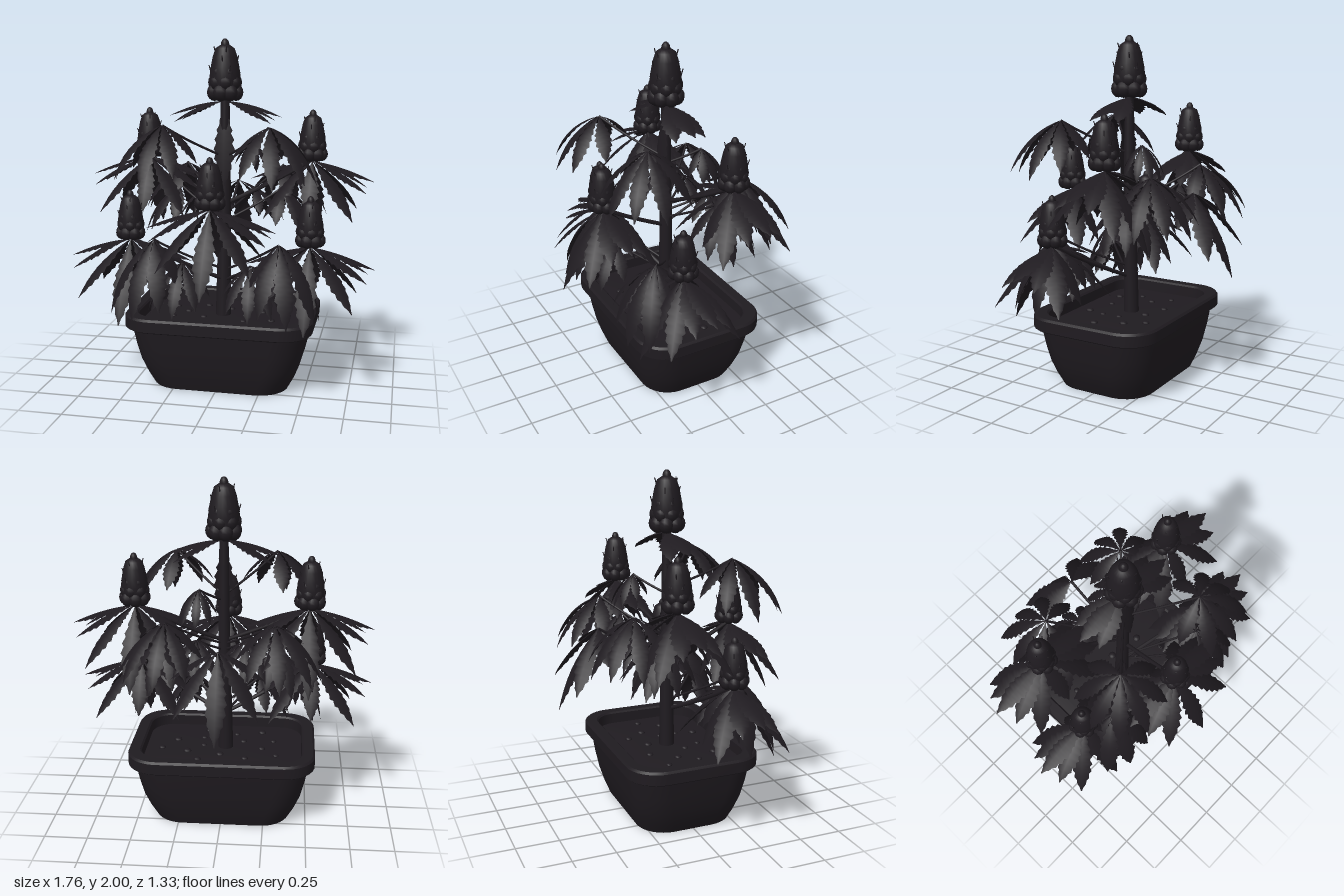
import * as THREE from 'three';
import { mergeGeometries, toCreasedNormals } from 'three/addons/utils/BufferGeometryUtils.js';

const DARK = 0x1f1b20;
const solid = new THREE.MeshStandardMaterial({ color: DARK });
const thin = new THREE.MeshStandardMaterial({ color: DARK, side: THREE.DoubleSide });
const V = (x, y, z) => new THREE.Vector3(x, y, z);
const rad = THREE.MathUtils.degToRad;

function add(parent, name, geometry, material = solid) {
  const mesh = new THREE.Mesh(geometry, material);
  mesh.name = name;
  parent.add(mesh);
  return mesh;
}

// Grid of points (rows of equal length) joined into a surface
function grid(rows) {
  const n = rows[0].length, index = [];
  for (let i = 0; i < rows.length - 1; i++) {
    for (let j = 0; j < n - 1; j++) {
      const a = i * n + j, b = a + 1, c = a + n, d = c + 1;
      index.push(a, c, b, b, c, d);
    }
  }
  const g = new THREE.BufferGeometry();
  g.setAttribute('position', new THREE.Float32BufferAttribute(rows.flat().flatMap(p => p.toArray()), 3));
  g.setIndex(index);
  g.computeVertexNormals();
  return g;
}

// Rounded rectangle loop: half sizes, corner radius, height
function roundedLoop([hx, hz, r, y]) {
  const points = [];
  [[1, 1], [-1, 1], [-1, -1], [1, -1]].forEach(([sx, sz], q) => {
    for (let k = 0; k <= 8; k++) {
      const t = (q + k / 8) * Math.PI / 2;
      points.push(V(sx * (hx - r) + r * Math.cos(t), y, sz * (hz - r) + r * Math.sin(t)));
    }
  });
  points.push(points[0].clone());
  return points;
}
const loft = sections => toCreasedNormals(grid(sections.map(roundedLoop)), 0.6);

// Serrated leaflet, narrow at both ends, whose pitch bends from p0 to p1 (degrees)
function leaflet(azimuth, length, p0, p1, width) {
  const steps = 27, rows = [], c = Math.cos(azimuth), s = Math.sin(azimuth);
  let out = 0, y = 0;
  for (let i = 0; i <= steps; i++) {
    const t = i / steps, pitch = rad(p0 + (p1 - p0) * t);
    const tooth = [1.12, 0.86, 0.98][i % 3];
    const w = Math.max(0.003, width * tooth * Math.sin(Math.PI * Math.pow(t, 1.2)));
    rows.push([-1, 0, 1].map(k => {
      const fold = Math.abs(k) * w * 0.3;
      const o = out + fold * Math.sin(pitch), h = y - fold * Math.cos(pitch);
      return V(c * o - s * k * w, h, s * o + c * k * w);
    }));
    out += Math.cos(pitch) * length / steps;
    y += Math.sin(pitch) * length / steps;
  }
  return grid(rows);
}

// Palmate leaf fanning out around the outward direction; steep lowers every leaflet
function fanLeaf(outward, size, steep) {
  const parts = [];
  for (const [offset, length, p0, p1] of [[0, 0.44, -18, -72], [36, 0.44, -24, -76], [76, 0.4, -20, -72], [122, 0.32, -20, -66]]) {
    for (const side of offset ? [-1, 1] : [1]) {
      parts.push(leaflet(outward + side * rad(offset), length * size, p0 - steep, Math.max(p1 - steep, -88), 0.048 * size));
    }
  }
  return mergeGeometries(parts);
}

// Collar of leaves below a flower: level at the sides, hanging front and back
function collar(top, outward) {
  const parts = [];
  const table = top
    ? [[0, 0.34, -3, -28], [18, 0.32, -5, -40]]
    : [[0, 0.38, -8, -28], [18, 0.38, -12, -42], [40, 0.46, -28, -60]];
  for (const [a, length, p0, p1] of table) {
    for (const angle of a ? [a, -a, 180 - a, 180 + a] : [0, 180]) {
      parts.push(leaflet(rad(angle), length, p0, p1, 0.054));
    }
  }
  if (top) {
    parts.push(leaflet(Math.PI / 2, 0.5, -78, -90, 0.056));
  } else {
    parts.push(leaflet(outward * Math.PI / 2, 0.52, -45, -74, 0.056));
    parts.push(leaflet(-outward * Math.PI / 2, 0.36, -45, -74, 0.05));
  }
  return mergeGeometries(parts);
}

// Flower cone with plump bracts at its foot and a few hairs, 0.35 tall
function flowerParts() {
  const cone = new THREE.LatheGeometry([
    [0.001, 0], [0.06, 0.01], [0.085, 0.06], [0.09, 0.13], [0.082, 0.19], [0.07, 0.25], [0.055, 0.295], [0.03, 0.312], [0.001, 0.316],
  ].map(([x, y]) => new THREE.Vector2(x, y)), 20);
  const bracts = [new THREE.SphereGeometry(0.025, 12, 10).scale(1, 1.5, 1).translate(0, 0.313, 0)];
  const hairs = [];
  [[0.05, 0.063, 7, 0.043], [0.105, 0.057, 7, 0.042], [0.16, 0.05, 6, 0.038], [0.215, 0.042, 6, 0.034], [0.265, 0.032, 5, 0.03]]
    .forEach(([y, r, n, size], ring) => {
      for (let k = 0; k < n; k++) {
        const a = (k + ring * 0.5) / n * Math.PI * 2;
        bracts.push(new THREE.SphereGeometry(size, 10, 8).scale(1, 1.15, 1)
          .translate(r * Math.cos(a), y, r * Math.sin(a)));
        if (ring > 1 && k % 2 === 0) {
          hairs.push(new THREE.CylinderGeometry(0.003, 0.004, 0.035, 5).translate(0, 0.015, 0)
            .rotateZ(-0.3).translate(r + size * 0.9, y + 0.01, 0).rotateY(-a));
        }
      }
    });
  return { cone, bracts: mergeGeometries(bracts), hairs: mergeGeometries(hairs) };
}

export function createModel() {
  const model = new THREE.Group();
  model.name = 'pottedPlant';

  // Hollow pot with a flared wall and thick rim, open underneath
  add(model, 'pot', loft([
    [0.495, 0.345, 0.17, 0.35], [0.476, 0.332, 0.17, 0.25], [0.453, 0.316, 0.17, 0.15], [0.422, 0.295, 0.17, 0.07],
    [0.388, 0.273, 0.16, 0], [0.4, 0.285, 0.17, 0], [0.437, 0.31, 0.18, 0.07],
    [0.468, 0.331, 0.18, 0.15], [0.492, 0.348, 0.18, 0.25], [0.512, 0.362, 0.18, 0.36],
    [0.54, 0.385, 0.18, 0.36], [0.546, 0.391, 0.18, 0.366], [0.546, 0.391, 0.18, 0.428],
    [0.535, 0.38, 0.17, 0.44], [0.48, 0.326, 0.14, 0.44], [0.47, 0.316, 0.13, 0.43], [0.468, 0.314, 0.13, 0.35],
  ]));
  add(model, 'soil', loft([[0.002, 0.002, 0.001, 0.345], [0.497, 0.347, 0.17, 0.345], [0.497, 0.347, 0.17, 0.365],
    [0.4, 0.25, 0.1, 0.375], [0.002, 0.002, 0.001, 0.38]]));
  for (let i = 0; i < 15; i++) {
    const a = i * 2.4, r = Math.sqrt((i + 1.5) / 17);
    const pebble = add(model, 'pebble', new THREE.SphereGeometry(0.019 + 0.003 * (i % 3), 10, 6));
    pebble.position.set(0.41 * r * Math.cos(a), 0.377, 0.26 * r * Math.sin(a));
    pebble.scale.y = 0.6;
  }

  // Main stem, tapering upward
  const stem = new THREE.CylinderGeometry(0.026, 0.045, 1.3, 14, 8).translate(0, 1.02, 0);
  const sp = stem.attributes.position;
  for (let i = 0; i < sp.count; i++) {
    const lean = Math.max(0, 1 - (sp.getY(i) - 0.37) / 0.8) * -0.012;
    sp.setXYZ(i, sp.getX(i) + lean, sp.getY(i), sp.getZ(i) + lean * 0.6);
  }
  add(model, 'stem', stem);

  const branch = (x, y, z, radius) => {
    const reach = Math.hypot(x, z);
    const path = new THREE.QuadraticBezierCurve3(
      V(0, y - reach * 0.5, 0), V(x * 0.6, y - reach * 0.25, z * 0.6), V(x, y, z));
    add(model, 'branch', new THREE.TubeGeometry(path, 10, radius, 7));
  };

  // Flowers, each on a collar of leaves
  const flower = flowerParts();
  const placeFlower = (x, y, z, size, top) => {
    const group = new THREE.Group();
    group.name = 'flowerHead';
    group.position.set(x, y, z);
    for (const part of ['cone', 'bracts', 'hairs']) add(group, part, flower[part]).scale.setScalar(size);
    add(group, 'leafCollar', collar(top, Math.sign(z)), thin);
    model.add(group);
    if (!top) branch(x, y + 0.01, z, 0.012);
  };
  placeFlower(0, 1.65, 0, 1, true);
  placeFlower(0, 1.09, 0.4, 0.82, false);
  for (const side of [-1, 1]) {
    placeFlower(side * 0.49, 1.3, -0.14, 0.85, false);
    placeFlower(side * 0.52, 0.86, 0.18, 0.82, false);
  }

  // Fan leaves on thin stalks
  const placeFan = (x, y, z, size, steep) => {
    const leaf = add(model, 'fanLeaf', fanLeaf(Math.atan2(z, x), size, steep), thin);
    leaf.position.set(x, y, z);
    branch(x, y, z, 0.007);
  };
  for (const side of [-1, 1]) {
    placeFan(side * 0.3, 1.53, 0.27, 0.95, 0);
    placeFan(side * 0.36, 0.88, 0.26, 1.12, 13);
    placeFan(side * 0.2, 0.75, 0.24, 0.8, 6);
    placeFan(side * 0.3, 1.25, -0.31, 0.95, 0);
    placeFan(side * 0.31, 1.13, -0.17, 0.85, 5);
    placeFan(side * 0.14, 1.12, -0.2, 0.65, 0);
  }
  placeFan(0.13, 1.4, -0.16, 0.55, 10);

  // Rear leaf, longer and more drooping
  const rear = [];
  for (const [a, length, p0, p1] of [[0, 0.52, -48, -77], [48, 0.44, -32, -62], [84, 0.3, -18, -45]]) {
    for (const s of a ? [-1, 1] : [1]) rear.push(leaflet(-Math.PI / 2 + s * rad(a), length, p0, p1, 0.054));
  }
  add(model, 'rearLeaf', mergeGeometries(rear), thin).position.set(0, 1.13, -0.42);
  branch(0, 1.13, -0.42, 0.008);

  return model;
}
